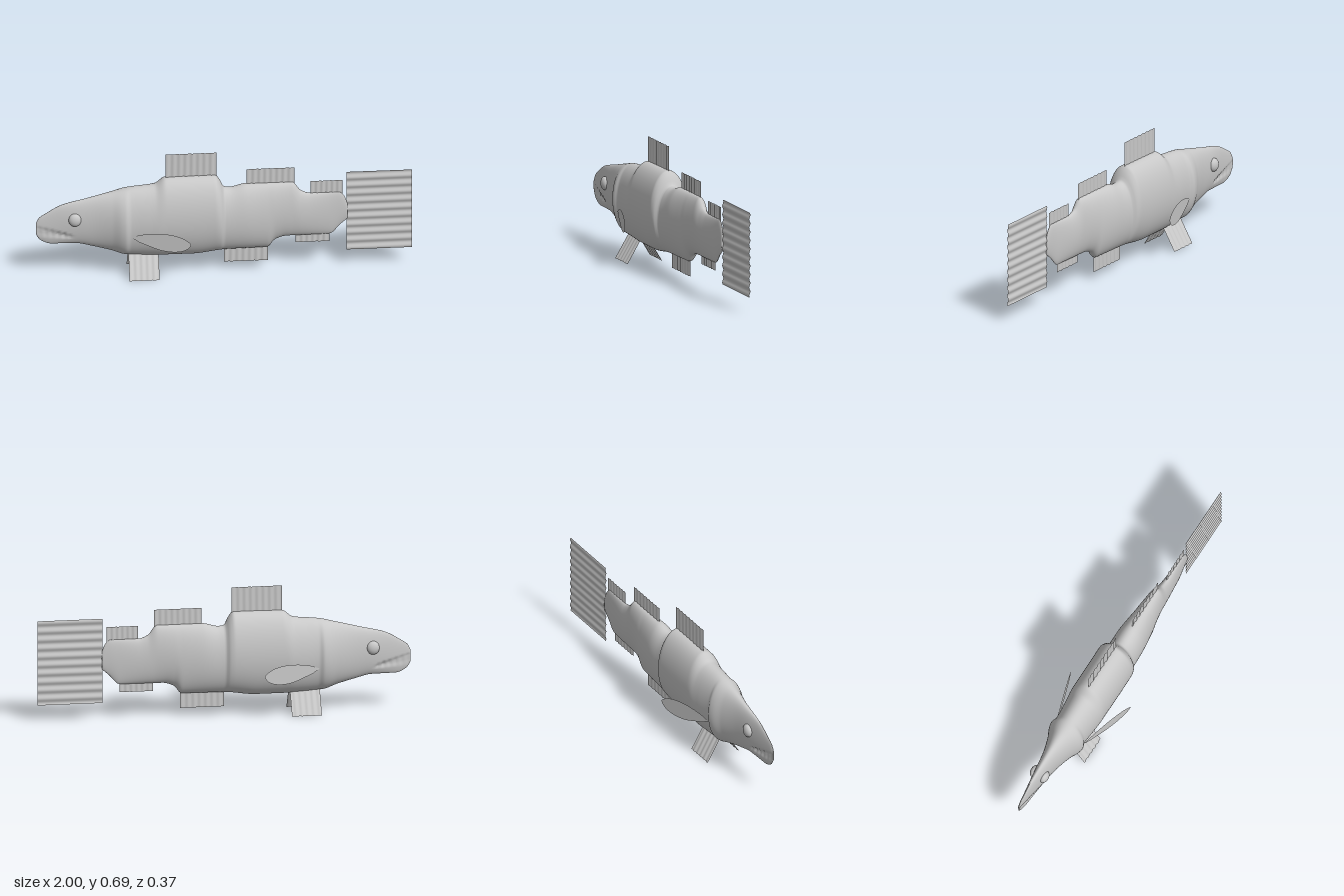
import * as THREE from 'three';

const skin = new THREE.MeshStandardMaterial({ color: 0xc8c8c8, side: THREE.DoubleSide });
skin.name = 'pale grey skin';

// Body profiles along x: [x, value]
const TOP = [[-1, .315], [-.985, .345], [-.95, .37], [-.86, .42], [-.74, .45], [-.6, .485], [-.5, .508], [-.37, .522], [-.31, .56],
  [-.05, .563], [-.025, .535], [0, .49], [.03, .486], [.12, .505], [.36, .505], [.41, .452], [.46, .435], [.61, .435], [.64, .41], [.655, .37]];
const BOTTOM = [[-1, .25], [-.98, .218], [-.92, .192], [-.79, .19], [-.7, .17], [-.6, .143], [-.53, .12], [-.45, .113], [-.3, .107],
  [-.17, .107], [0, .125], [.23, .128], [.27, .17], [.33, .188], [.56, .19], [.62, .245], [.655, .275]];
const WIDTH = [[-1, .006], [-.9, .017], [-.8, .031], [-.7, .046], [-.6, .075], [-.545, .1], [-.525, .104], [-.5, .093], [-.4, .1], [-.33, .106],
  [-.05, .107], [-.02, .1], [0, .083], [.1, .079], [.2, .067], [.3, .052], [.4, .038], [.5, .026], [.6, .014], [.655, .008]];

// Smooth interpolation that never overshoots its points
function sample(points, x) {
  const slope = i => (points[i + 1][1] - points[i][1]) / (points[i + 1][0] - points[i][0]);
  const tangent = i => {
    if (i === 0) return slope(0);
    if (i === points.length - 1) return slope(i - 1);
    const a = slope(i - 1), b = slope(i);
    return a * b <= 0 ? 0 : 2 * a * b / (a + b);
  };
  let i = 0;
  while (i < points.length - 2 && x > points[i + 1][0]) i++;
  const [x0, y0] = points[i], [x1, y1] = points[i + 1];
  const h = x1 - x0, t = (x - x0) / h, t2 = t * t, t3 = t2 * t;
  return (2 * t3 - 3 * t2 + 1) * y0 + (t3 - 2 * t2 + t) * h * tangent(i)
    + (3 * t2 - 2 * t3) * y1 + (t3 - t2) * h * tangent(i + 1);
}

// Grooved mouth between the upper lip and the lower jaw
function mouthScale(x, y) {
  if (x > -.79) return 1;
  const upper = .305 - .32 * (x + 1), lower = .232 - .03 * (x + 1);
  if (y > upper || y < lower) return 1;
  const t = (y - lower) / (upper - lower);
  const depth = Math.min(1, (-.79 - x) / .06) * Math.min(1, (1 - t) * 6) * Math.min(1, t * 2.5);
  return 1 - depth * (.42 + .16 * Math.sin(x * 190));
}

function bodyGeometry() {
  const rings = 220, sides = 64, positions = [], index = [];
  for (let i = 0; i <= rings; i++) {
    const x = -1 + 1.655 * i / rings;
    const top = sample(TOP, x), bottom = sample(BOTTOM, x), width = sample(WIDTH, x);
    for (let j = 0; j < sides; j++) {
      const a = j / sides * Math.PI * 2;
      const y = (top + bottom) / 2 + Math.cos(a) * (top - bottom) / 2;
      positions.push(x, y, Math.sin(a) * width * mouthScale(x, y));
    }
  }
  for (let i = 0; i < rings; i++) for (let j = 0; j < sides; j++) {
    const a = i * sides + j, b = i * sides + (j + 1) % sides;
    index.push(a, b, a + sides, b, b + sides, a + sides);
  }
  // Close snout and tail stump
  for (const ring of [0, rings]) {
    const start = ring * sides;
    for (let j = 1; j < sides - 1; j++) {
      if (ring) index.push(start, start + j, start + j + 1);
      else index.push(start, start + j + 1, start + j);
    }
  }
  const g = new THREE.BufferGeometry();
  g.setAttribute('position', new THREE.Float32BufferAttribute(positions, 3));
  g.setIndex(index);
  g.computeVertexNormals();
  return g;
}

// Rectangular fin, rippled across its rays
function ripplingFin(x0, x1, y0, y1, rays, horizontal = false, depth = .002) {
  const w = x1 - x0, h = y1 - y0, n = rays * 8;
  const g = new THREE.PlaneGeometry(w, h, horizontal ? 1 : n, horizontal ? n : 1);
  g.translate((x0 + x1) / 2, (y0 + y1) / 2, 0);
  const p = g.attributes.position;
  for (let i = 0; i < p.count; i++) {
    const t = horizontal ? (p.getY(i) - y0) / h : (p.getX(i) - x0) / w;
    p.setZ(i, depth * Math.sin(t * rays * Math.PI * 2));
  }
  g.computeVertexNormals();
  return g;
}

export function createModel() {
  const fish = new THREE.Group();
  fish.name = 'fish';
  const add = (name, geometry) => {
    const mesh = new THREE.Mesh(geometry, skin);
    mesh.name = name;
    fish.add(mesh);
    return mesh;
  };

  add('body', bodyGeometry());

  // Fins on the midline
  add('frontDorsalFin', ripplingFin(-.31, -.04, .54, .695, 8));
  add('middleDorsalFin', ripplingFin(.12, .375, .48, .59, 8));
  add('rearDorsalFin', ripplingFin(.46, .63, .41, .505, 6));
  add('frontAnalFin', ripplingFin(0, .235, .045, .15, 7));
  add('rearAnalFin', ripplingFin(.38, .56, .145, .21, 6));
  add('tailFin', ripplingFin(.652, 1, .09, .552, 10, true, .0035));

  // Leaf outline of the side fins
  const leaf = new THREE.Shape();
  leaf.moveTo(-.5, .255);
  leaf.lineTo(-.46, .273);
  leaf.bezierCurveTo(-.38, .3, -.24, .312, -.19, .25);
  leaf.bezierCurveTo(-.2, .19, -.31, .18, -.38, .205);
  leaf.lineTo(-.46, .232);
  leaf.closePath();

  for (const side of [1, -1]) {
    const label = side > 0 ? 'left' : 'right';

    const eye = add(label + 'Eye', new THREE.SphereGeometry(1, 28, 20));
    eye.scale.set(.034, .037, .023);
    eye.position.set(-.795, .34, side * .03);

    // Side fin flares outward toward its tip
    const pectoral = new THREE.ShapeGeometry(leaf, 20);
    const p = pectoral.attributes.position;
    for (let i = 0; i < p.count; i++) p.setZ(i, side * (.103 + (p.getX(i) + .46) * .311));
    pectoral.computeVertexNormals();
    add(label + 'PectoralFin', pectoral);

    // Belly fin splayed outward and down
    const pelvic = ripplingFin(-.51, -.35, 0, .13, 5);
    const q = pelvic.attributes.position;
    for (let i = 0; i < q.count; i++) q.setZ(i, side * (.1 - q.getY(i) * .61 + q.getZ(i)));
    pelvic.computeVertexNormals();
    add(label + 'PelvicFin', pelvic);
  }
  return fish;
}
